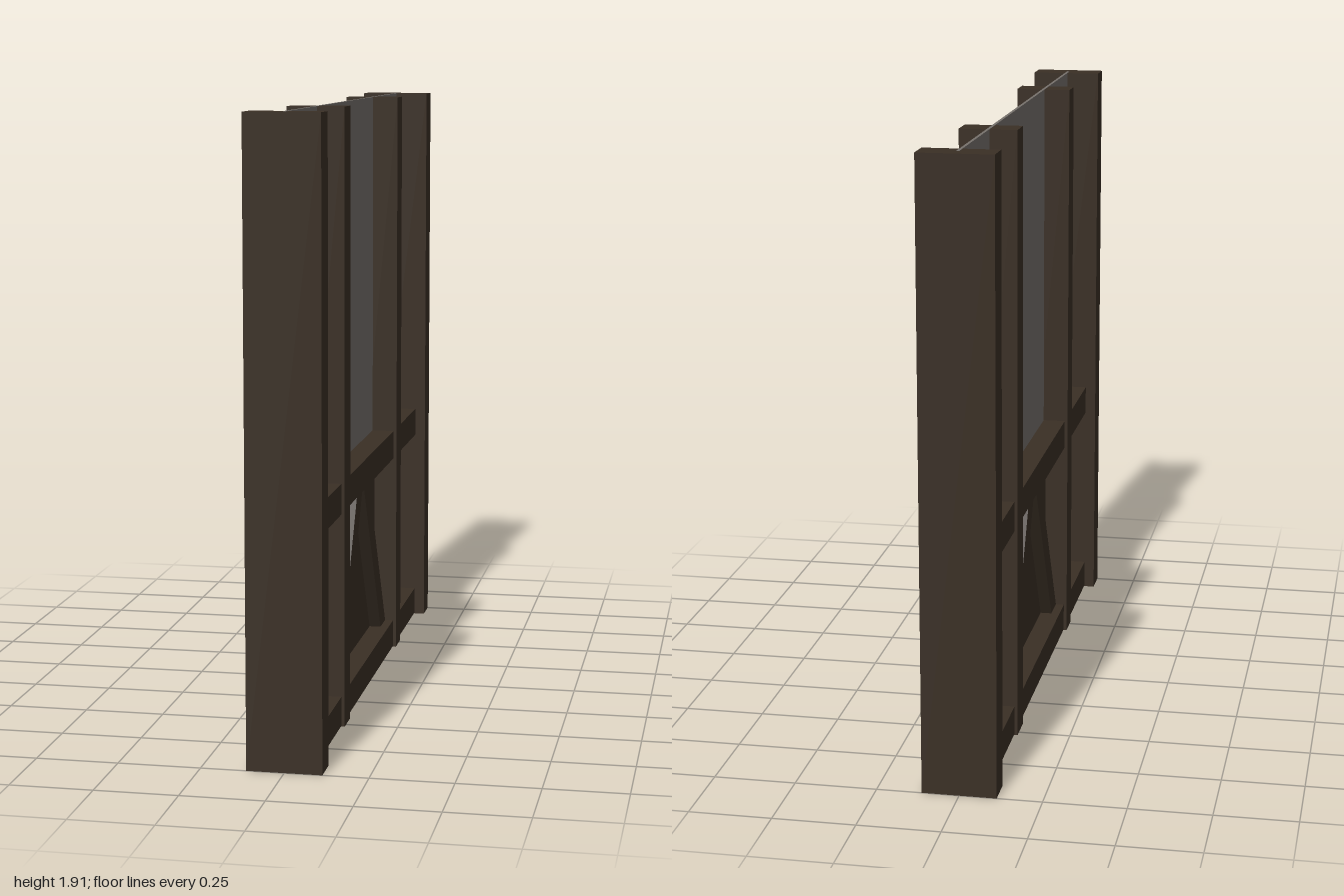
import * as THREE from 'three';

export function createModel() {
  const root = new THREE.Group();
  root.name = 'timberWallWithWindow';

  const wood = new THREE.MeshStandardMaterial({ color: 0x3a2f25 });
  wood.name = 'dark wood';
  const glass = new THREE.MeshStandardMaterial({ color: 0x76716c });
  glass.name = 'grey glass';

  const H = 1.905;

  // Box given by its width in x and its ranges in y and z
  function box(name, width, y0, y1, z0, z1, material = wood) {
    const mesh = new THREE.Mesh(new THREE.BoxGeometry(width, y1 - y0, z1 - z0), material);
    mesh.position.set(0, (y0 + y1) / 2, (z0 + z1) / 2);
    mesh.name = name;
    root.add(mesh);
  }

  // Sloping brace: a parallelogram in the z-y plane, extruded across x
  function brace(side) {
    const depth = 0.1;
    const shape = new THREE.Shape([
      [0.43, 0.095], [0.335, 0.095], [0, 0.67], [0.095, 0.67],
    ].map(([z, y]) => new THREE.Vector2(-z * side, y)));
    const geometry = new THREE.ExtrudeGeometry(shape, { depth, bevelEnabled: false });
    geometry.translate(0, 0, -depth / 2);
    geometry.rotateY(Math.PI / 2);
    const mesh = new THREE.Mesh(geometry, wood);
    mesh.name = side > 0 ? 'frontBrace' : 'backBrace';
    root.add(mesh);
  }

  // Posts and braces, mirrored front to back
  for (const side of [1, -1]) {
    const label = side > 0 ? 'front' : 'back';
    const range = (a, b) => (side > 0 ? [a, b] : [-b, -a]);
    box(label + 'OuterPost', 0.226, 0, H, ...range(0.907, 1));
    box(label + 'InnerPost', 0.176, 0, H, ...range(0.431, 0.523));
    brace(side);
  }

  // Rails and the lower infill panel
  box('bottomRail', 0.156, 0.003, 0.095, -0.907, 0.907);
  box('middleRail', 0.156, 0.67, 0.765, -0.907, 0.907);
  box('lowerPanel', 0.024, 0.05, 0.7, -0.92, 0.92);

  // Thin window sheet running through the frame
  box('windowPane', 0.009, 0.72, H + 0.001, -0.955, 0.955, glass);

  return root;
}
